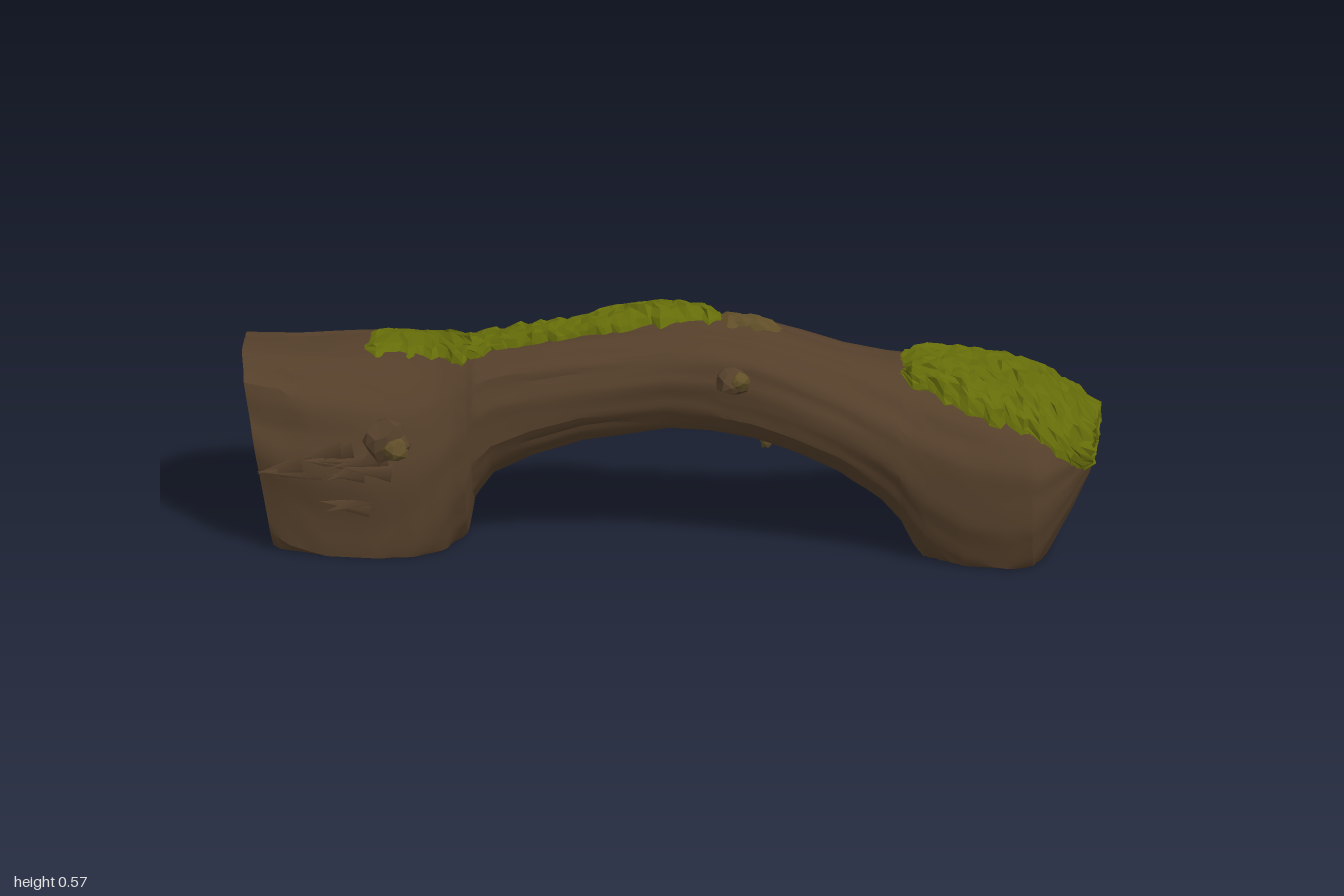
import * as THREE from 'three';
import { toCreasedNormals, mergeVertices } from 'three/addons/utils/BufferGeometryUtils.js';

const clamp = THREE.MathUtils.clamp, lerp = THREE.MathUtils.lerp;

// log cross-sections: x, underside y, top y, back z, front z (below ground is flattened)
const LOG = [
  [-1.0, -0.28, 0.45, -0.27, 0.265], [-0.95, -0.32, 0.445, -0.31, 0.28], [-0.85, -0.35, 0.44, -0.345, 0.3],
  [-0.7, -0.35, 0.44, -0.36, 0.32], [-0.6, -0.26, 0.44, -0.32, 0.312], [-0.54, -0.15, 0.445, -0.25, 0.295],
  [-0.5, -0.05, 0.455, -0.19, 0.28], [-0.47, 0.0, 0.46, -0.14, 0.275], [-0.455, 0.09, 0.462, -0.115, 0.27],
  [-0.41, 0.155, 0.47, -0.085, 0.262], [-0.32, 0.205, 0.485, -0.055, 0.257], [-0.2, 0.248, 0.502, -0.04, 0.255],
  [0, 0.28, 0.533, -0.03, 0.255], [0.1, 0.275, 0.538, -0.03, 0.26], [0.2, 0.257, 0.53, -0.035, 0.265],
  [0.3, 0.225, 0.5, -0.048, 0.27], [0.4, 0.18, 0.465, -0.08, 0.275], [0.5, 0.11, 0.438, -0.135, 0.285],
  [0.545, 0.06, 0.43, -0.165, 0.292], [0.575, 0, 0.424, -0.185, 0.297], [0.61, -0.05, 0.418, -0.205, 0.305],
  [0.7, -0.11, 0.4, -0.24, 0.325], [0.8, -0.11, 0.38, -0.255, 0.338], [0.86, -0.06, 0.36, -0.24, 0.34],
  [0.9, 0.015, 0.34, -0.205, 0.315], [0.945, 0.1, 0.315, -0.155, 0.26], [0.985, 0.18, 0.28, -0.075, 0.165],
];

// patch outlines: x, front angle, back angle (0 = front, 90 = top, 180 = back), thickness
const MOSS_END = [
  [0.53, 74, 102, 0.014], [0.57, 64, 114, 0.016], [0.63, 58, 132, 0.02], [0.7, 54, 146, 0.022],
  [0.77, 51, 156, 0.022], [0.83, 47, 163, 0.022], [0.89, 39, 169, 0.022], [0.94, 20, 178, 0.02],
  [0.985, -25, 205, 0.018],
];
const MOSS_RIDGE = [
  [-0.73, 80, 92, 0.006], [-0.7, 75, 103, 0.006], [-0.66, 74, 128, 0.006], [-0.6, 74, 135, 0.006],
  [-0.55, 72, 130, 0.006], [-0.52, 69, 112, 0.008], [-0.47, 62, 102, 0.012], [-0.4, 70, 109, 0.014],
  [-0.3, 73, 107, 0.018], [-0.2, 78, 114, 0.022], [-0.1, 78, 146, 0.03], [-0.04, 78, 162, 0.03],
  [0.03, 80, 156, 0.022], [0.08, 80, 140, 0.016], [0.13, 88, 112, 0.01],
];
const DRY_TAIL = [[0.1, 86, 112, 0.006], [0.15, 76, 122, 0.008], [0.21, 78, 112, 0.008], [0.27, 84, 102, 0.006]];

function sample(table, x) {
  let i = 0;
  while (i < table.length - 2 && x > table[i + 1][0]) i++;
  const a = table[i], b = table[i + 1];
  const t = clamp((x - a[0]) / (b[0] - a[0]), 0, 1);
  return a.map((v, k) => lerp(v, b[k], t));
}

function hash(a, b) {
  const s = Math.sin(a * 127.1 + b * 311.7) * 43758.5453;
  return s - Math.floor(s);
}

// point on the log at x and angle; lift moves it outwards, k shrinks the ring
function logPoint(x, angle, lift = 0, k = 1) {
  const [, y0, y1, z0, z1] = sample(LOG, x);
  const yc = (y0 + y1) / 2, zc = (z0 + z1) / 2;
  const power = (v, e) => Math.sign(v) * Math.abs(v) ** e;
  const sin = Math.sin(angle), cos = Math.cos(angle);
  // the stumps have a full front shoulder and a sloping back; the right one tucks in below
  const stump = clamp((Math.abs(x) - 0.38) / 0.22, 0, 1);
  const front = sin > 0 ? 0.65 : (x < 0 ? 0.95 : 0.65);
  const back = x < 0 ? 1.22 : (sin > 0 ? 1 : 1.45);
  const bend = cos > 0 ? lerp(0.85, front, stump) : lerp(1, back, stump);
  const dy = power(sin, 0.9) * ((y1 - y0) / 2 + lift) * k;
  const dz = power(cos, bend) * ((z1 - z0) / 2 + lift) * k;
  const y = Math.max(0, yc + dy);
  const left = clamp((-0.5 - x) / 0.5, 0, 1);
  return new THREE.Vector3(x + left * (0.45 - y) * 0.18, y, zc + dz + dy * 0.12 * left);
}

// surface from a grid of points
function grid(rows, cols, point) {
  const pos = [], index = [];
  for (let i = 0; i <= rows; i++) for (let j = 0; j <= cols; j++) pos.push(...point(i, j).toArray());
  for (let i = 0; i < rows; i++) for (let j = 0; j < cols; j++) {
    const a = i * (cols + 1) + j, b = a + cols + 1;
    index.push(a, b, a + 1, b, b + 1, a + 1);
  }
  const g = new THREE.BufferGeometry();
  g.setAttribute('position', new THREE.Float32BufferAttribute(pos, 3));
  g.setIndex(index);
  return g;
}

// bark: long ridges following the log, rougher on the left stump
function logGeometry() {
  const sub = 3, rings = (LOG.length - 1) * sub, sides = 72;
  return grid(rings + 2, sides, (i, j) => {
    const n = clamp(i - 1, 0, rings), s = Math.min(Math.floor(n / sub), LOG.length - 2);
    const x = lerp(LOG[s][0], LOG[s + 1][0], n / sub - s);
    const side = j % sides, a = (side / sides) * Math.PI * 2;
    const rough = 0.004 + 0.006 * clamp((-0.6 - x) / 0.3, 0, 1);
    const lift = rough * (0.6 * Math.sin(a * 13 + x * 4) + 0.5 * Math.sin(a * 5 - x * 9)
      + 0.9 * (hash(side, Math.floor(n / 5)) - 0.5));
    return logPoint(x, a, lift, i === 0 || i === rings + 2 ? 0 : 1);
  });
}

// moss: a lumpy blanket over the log, sunk in at its rim; capRings close it over the log's end
function mossGeometry(table, rows, cols, capRings = 0) {
  const x0 = table[0][0], x1 = table[table.length - 1][0];
  return grid(rows + capRings, cols, (i, j) => {
    const r = Math.min(i, rows), cap = i - r;
    const inner = r > 0 && i < rows + capRings && j > 0 && j < cols;
    const x = lerp(x0, x1, (r + (inner && r < rows ? 0.7 * (hash(i, j) - 0.5) : 0)) / rows);
    const [, f, b, height] = sample(table, x);
    const ragged = 10 * (hash(r, j < cols / 2 ? 3 : 7) - 0.5) * Math.abs(j / cols - 0.5) * 2;
    const u = (j + (inner ? 0.7 * (hash(j, i + 50) - 0.5) : 0)) / cols;
    const a = THREE.MathUtils.degToRad((f + b) / 2 + ((b - f) / 2 + ragged) * (2 * u - 1));
    const rim = Math.min(1, 7 * u, 4 * (1 - u), r / 2, capRings ? 1 : (rows - r) / 2);
    const bump = Math.min(height, 0.016) * hash(i + 9, j);
    const p = logPoint(x, a, -0.006 + rim * (height + bump + 0.004), capRings ? 1 - 0.98 * cap / capRings : 1);
    if (capRings && r === rows) p.x += 0.004 + 0.011 * (cap === capRings ? 1 : hash(i, j));
    return p;
  });
}

// knot: a lumpy faceted stone-like shape
function knotGeometry(seed) {
  const g = new THREE.IcosahedronGeometry(1, 1);
  g.deleteAttribute('normal');
  g.deleteAttribute('uv');
  const m = mergeVertices(g, 1e-3), p = m.attributes.position;
  for (let i = 0; i < p.count; i++) {
    const s = 0.8 + 0.35 * hash(i, seed);
    p.setXYZ(i, p.getX(i) * s, p.getY(i) * s, p.getZ(i) * s);
  }
  return toCreasedNormals(m, 0.3);
}

export function createModel() {
  const group = new THREE.Group();
  const material = (name, color, options = {}) => new THREE.MeshStandardMaterial({ name, color, ...options });
  const bark = material('bark brown', 0x543f2a);
  const moss = material('moss green', 0x656c09, { flatShading: true, side: THREE.DoubleSide });
  const wood = material('olive wood', 0x604e28, { flatShading: true, side: THREE.DoubleSide });

  const add = (name, geometry, mat) => {
    const mesh = new THREE.Mesh(geometry, mat);
    mesh.name = name;
    group.add(mesh);
    return mesh;
  };

  add('log', toCreasedNormals(logGeometry(), 0.5), bark);
  add('endMoss', mossGeometry(MOSS_END, 24, 28, 4), moss);
  add('ridgeMoss', mossGeometry(MOSS_RIDGE, 46, 12), moss);
  add('dryTail', mossGeometry(DRY_TAIL, 10, 6), wood);

  // broken branch knots with paler cores, and small chips
  const knot = (name, seed, pos, size, mat) => {
    const mesh = add(name, knotGeometry(seed), mat);
    mesh.position.set(...pos);
    mesh.scale.set(...size);
  };
  knot('leftKnot', 1, [-0.65, 0.285, 0.3], [0.055, 0.05, 0.05], bark);
  knot('leftKnotCore', 2, [-0.635, 0.275, 0.322], [0.035, 0.03, 0.036], wood);
  knot('rightKnot', 3, [0.155, 0.435, 0.255], [0.04, 0.033, 0.05], bark);
  knot('rightKnotCore', 4, [0.17, 0.44, 0.275], [0.026, 0.022, 0.034], wood);
  knot('hangingTwig', 5, [0.225, 0.25, 0.13], [0.015, 0.025, 0.015], wood);
  knot('backChip', 6, [-0.75, 0.285, -0.25], [0.05, 0.015, 0.015], wood);

  // torn bark splinters on the front of the left stump
  for (let i = 0; i < 14; i++) {
    const x = -0.97 + 0.25 * hash(i, 1), angle = 0.15 + 0.4 * hash(i, 2);
    const splinter = add('barkSplinter', new THREE.ConeGeometry(0.028, 0.09 + 0.06 * hash(i, 3), 4), bark);
    splinter.position.copy(logPoint(x, angle, 0.002));
    splinter.rotation.set(0.3 * hash(i, 4), 0.5 * hash(i, 5), 1.3 + 0.5 * hash(i, 6));
  }
  return group;
}
